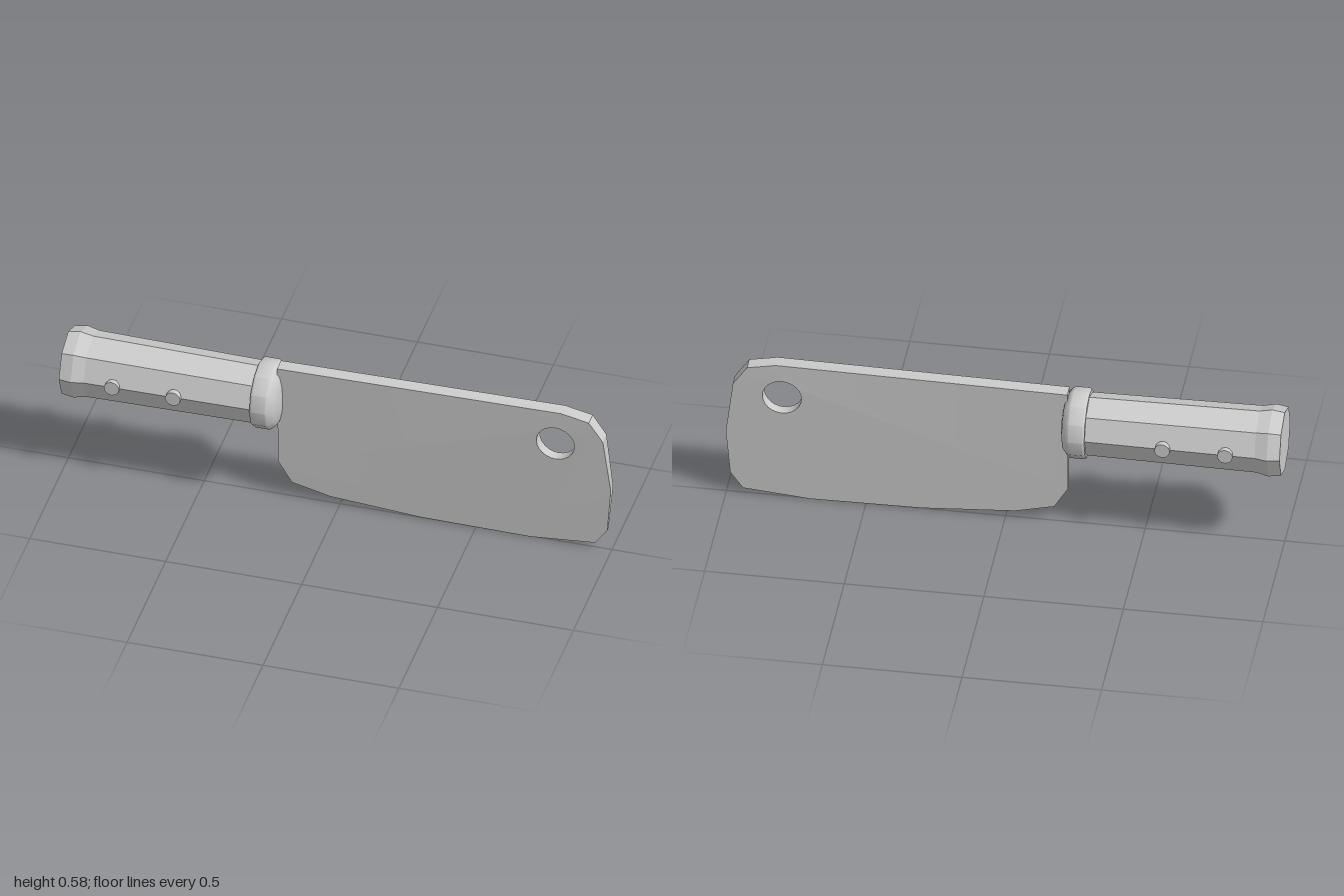
import * as THREE from 'three';
import { toCreasedNormals } from 'three/addons/utils/BufferGeometryUtils.js';

const AXIS_Y = 0.434;

export function createModel() {
  const model = new THREE.Group();
  model.name = 'cleaver';
  const steel = new THREE.MeshStandardMaterial({ color: 0xcccccc });
  steel.name = 'light grey';

  const add = (name, geometry, x = 0, y = 0, z = 0) => {
    const mesh = new THREE.Mesh(geometry, steel);
    mesh.name = name;
    mesh.position.set(x, y, z);
    model.add(mesh);
  };

  // Lathe around the x axis; each profile point is [radius, x]
  const turned = (profile, sides, crease) => {
    const points = profile.map(([r, x]) => new THREE.Vector2(r, x));
    const geometry = new THREE.LatheGeometry(points, sides);
    geometry.rotateZ(-Math.PI / 2);
    return toCreasedNormals(geometry, crease);
  };

  // Octagonal handle with a flared butt
  add('handle', turned([
    [0, -1], [0.124, -1], [0.131, -0.955], [0.121, -0.91],
    [0.114, -0.29], [0, -0.29],
  ], 8, 0.05), 0, AXIS_Y);

  // Collar with a domed front
  add('collar', turned([
    [0, -0.3], [0.123, -0.3], [0.128, -0.293], [0.128, -0.242],
    [0.122, -0.232], [0.102, -0.216], [0.06, -0.208], [0, -0.205],
  ], 12, 0.7), 0, AXIS_Y);

  // Two rivets on each side of the handle
  for (const x of [-0.805, -0.58]) {
    for (const side of [-1, 1]) {
      const rivet = new THREE.CylinderGeometry(0.028, 0.028, 0.04, 12);
      rivet.rotateX(Math.PI / 2);
      add('rivet', toCreasedNormals(rivet, 0.7), x, AXIS_Y, side * 0.108);
    }
  }

  // Blade outline with the hanging hole
  const outline = new THREE.Shape([
    [-0.225, 0.15], [-0.175, 0.065], [-0.035, 0.03], [0.3, 0.005],
    [0.7, 0.001], [0.94, 0.023], [0.985, 0.088], [1, 0.27],
    [0.973, 0.485], [0.922, 0.56], [0.82, 0.581], [-0.225, 0.567],
  ].map(([x, y]) => new THREE.Vector2(x, y)));
  const hole = new THREE.Path();
  hole.absarc(0.798, 0.443, 0.07, 0, Math.PI * 2, true);
  outline.holes.push(hole);
  const blade = new THREE.ExtrudeGeometry(outline, {
    depth: 1, bevelEnabled: false, curveSegments: 12,
  });

  // Taper the thickness from the spine down to the cutting edge
  const pos = blade.attributes.position;
  for (let i = 0; i < pos.count; i++) {
    const half = Math.min(0.026, 0.005 + 0.04 * pos.getY(i));
    pos.setZ(i, pos.getZ(i) > 0.5 ? half : -half);
  }
  add('blade', toCreasedNormals(blade, 0.35));

  return model;
}
